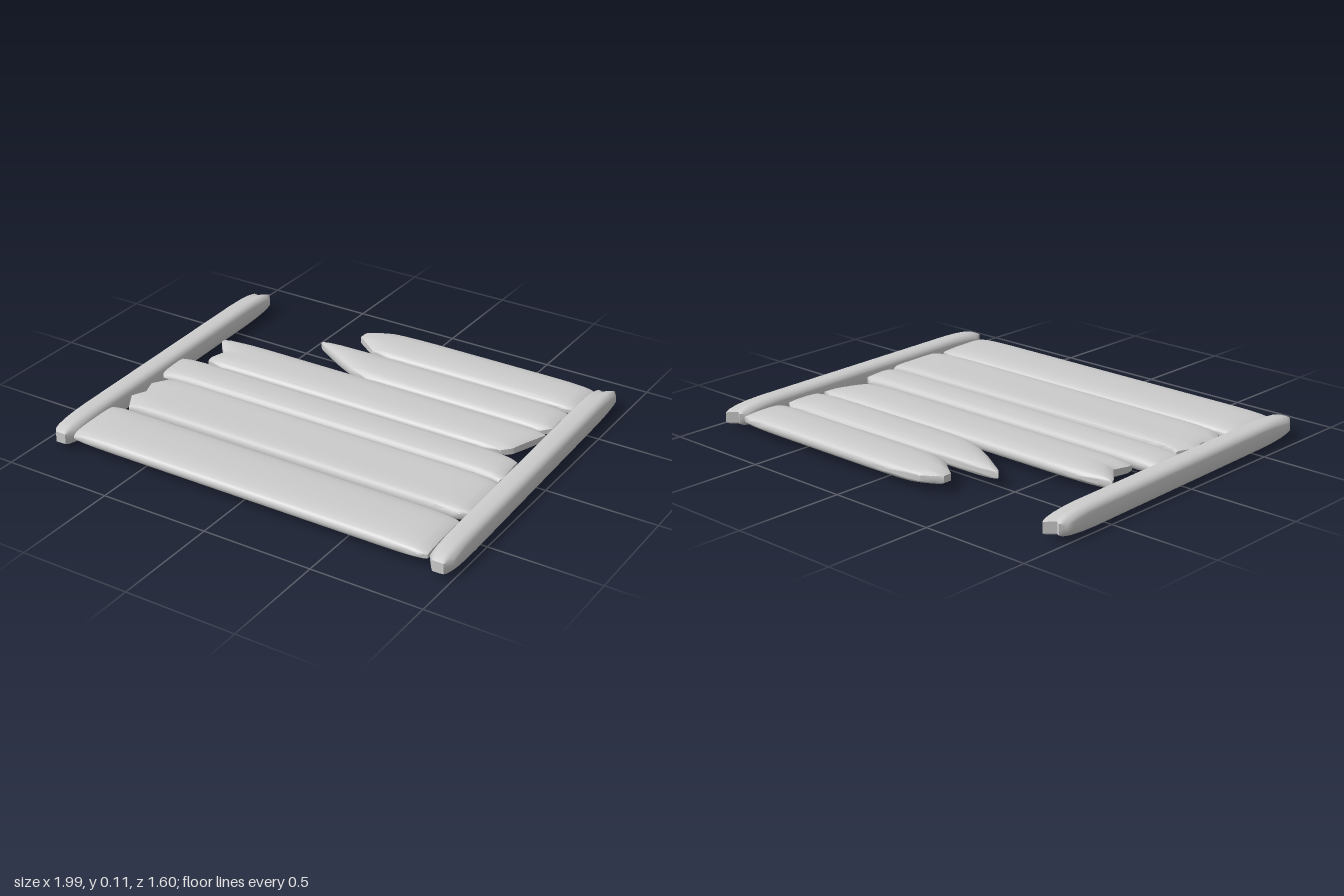
import * as THREE from 'three';
import { toCreasedNormals } from 'three/addons/utils/BufferGeometryUtils.js';

const material = new THREE.MeshStandardMaterial({ color: 0xcccccc });

// Piecewise-linear end profile: points are [z, x], sorted by z
function endAt(profile, z) {
  for (let i = 1; i < profile.length; i++) {
    const [z0, x0] = profile[i - 1], [z1, x1] = profile[i];
    if (z <= z1) return THREE.MathUtils.lerp(x0, x1, (z - z0) / (z1 - z0));
  }
  return profile[profile.length - 1][1];
}

// Rounded timber lying along x: superelliptic section, with shaped and softened ends.
// taper lists [distance from the end, share of full thickness].
function timber(left, right, halfHeight, power, taper) {
  const z0 = left[0][0], z1 = left[left.length - 1][0];
  const mid = (z0 + z1) / 2, half = (z1 - z0) / 2;

  // Samples across the width: rounded spacing plus every corner of the end profiles
  const zs = [...left, ...right].map((p) => p[0]);
  const steps = 16;
  for (let i = 0; i <= steps; i++) {
    const c = -Math.cos((Math.PI * i) / steps);
    zs.push(mid + half * Math.sign(c) * Math.abs(c) ** (2 / power));
  }
  zs.sort((a, b) => a - b);
  const across = zs.filter((z, i) => i === 0 || z - zs[i - 1] > 0.0015);
  across[across.length - 1] = z1;

  // Closed ring: over the top, then back underneath
  const ring = across.map((z) => [z, 1]);
  for (let i = across.length - 2; i > 0; i--) ring.push([across[i], -1]);

  const rows = [
    ...taper.map(([d, t]) => [0, d, t]),
    ...[...taper].reverse().map(([d, t]) => [1, -d, t]),
  ];
  const position = [], index = [], n = ring.length;
  rows.forEach(([end, d, t], r) => {
    ring.forEach(([z, side], j) => {
      const v = Math.min(1, Math.abs((z - mid) / half));
      const y = side * halfHeight * t * (1 - v ** power) ** (1 / power);
      position.push(endAt(end ? right : left, z) + d, y, z);
      if (r === rows.length - 1) return;
      const a = r * n + j, b = r * n + ((j + 1) % n);
      index.push(a, b, a + n, b, b + n, a + n);
    });
  });
  const geometry = new THREE.BufferGeometry();
  geometry.setAttribute('position', new THREE.Float32BufferAttribute(position, 3));
  geometry.setIndex(index);
  return toCreasedNormals(geometry, 0.8);
}

const plankTaper = [[0, 0], [0, 0.4], [0.015, 0.62], [0.05, 0.82], [0.11, 0.95], [0.2, 1]];
const railTaper = [[0, 0], [0, 0.45], [0.02, 0.65], [0.06, 0.82], [0.12, 0.94], [0.2, 1]];

// Planks from back to front: left and right end outlines, and section squareness
const planks = [
  { name: 'brokenPlankBack', power: 2.6,
    left: [[-0.78, -0.06], [-0.755, -0.22], [-0.7, -0.3], [-0.66, -0.3], [-0.57, -0.18], [-0.55, -0.08]],
    right: [[-0.78, 0.8], [-0.765, 0.845], [-0.56, 0.85], [-0.55, 0.8]] },
  { name: 'splinteredPlank', power: 2.6,
    left: [[-0.54, -0.08], [-0.53, -0.35], [-0.52, -0.43], [-0.5, -0.41], [-0.42, -0.28], [-0.36, -0.17], [-0.325, -0.06]],
    right: [[-0.54, 0.8], [-0.51, 0.845], [-0.36, 0.845], [-0.325, 0.8]] },
  { name: 'forkedPlank', power: 2.6,
    left: [[-0.32, -0.68], [-0.29, -0.83], [-0.26, -0.81], [-0.19, -0.75], [-0.12, -0.77], [-0.09, -0.765], [-0.07, -0.68]],
    right: [[-0.32, 0.79], [-0.3, 0.845], [-0.25, 0.83], [-0.12, 0.78], [-0.085, 0.74], [-0.07, 0.66]] },
  { name: 'narrowPlank', power: 2.8,
    left: [[-0.055, -0.86], [-0.03, -0.88], [0.11, -0.87], [0.133, -0.85]],
    right: [[-0.055, 0.81], [-0.03, 0.85], [0.11, 0.86], [0.133, 0.85]] },
  { name: 'notchedPlank', power: 5,
    left: [[0.15, -0.8], [0.23, -0.845], [0.3, -0.82], [0.365, -0.85], [0.45, -0.8]],
    right: [[0.15, 0.86], [0.18, 0.875], [0.42, 0.88], [0.45, 0.83]] },
  { name: 'widePlankFront', power: 2.8,
    left: [[0.47, -0.84], [0.5, -0.87], [0.74, -0.86], [0.775, -0.84]],
    right: [[0.47, 0.8], [0.49, 0.87], [0.76, 0.88], [0.775, 0.84]] },
];

export function createModel() {
  const model = new THREE.Group();
  model.name = 'brokenPlankPanel';

  for (const { name, power, left, right } of planks) {
    const plank = new THREE.Mesh(timber(left, right, 0.038, power, plankTaper), material);
    plank.name = name;
    plank.position.y = 0.063;
    model.add(plank);
  }

  // Two identical, slightly slanted rails with a chipped back end
  const railGeometry = timber(
    [[-0.055, -0.765], [-0.03, -0.8], [0.01, -0.762], [0.03, -0.775], [0.055, -0.74]],
    [[-0.055, 0.75], [-0.03, 0.8], [0.02, 0.8], [0.055, 0.75]],
    0.054, 3, railTaper);
  for (const side of [-1, 1]) {
    const rail = new THREE.Mesh(railGeometry, material);
    rail.name = side < 0 ? 'rightRail' : 'leftRail';
    rail.position.set(side * 0.92, 0.06, 0);
    rail.rotation.y = -Math.PI / 2 + 0.027;
    model.add(rail);
  }
  return model;
}
